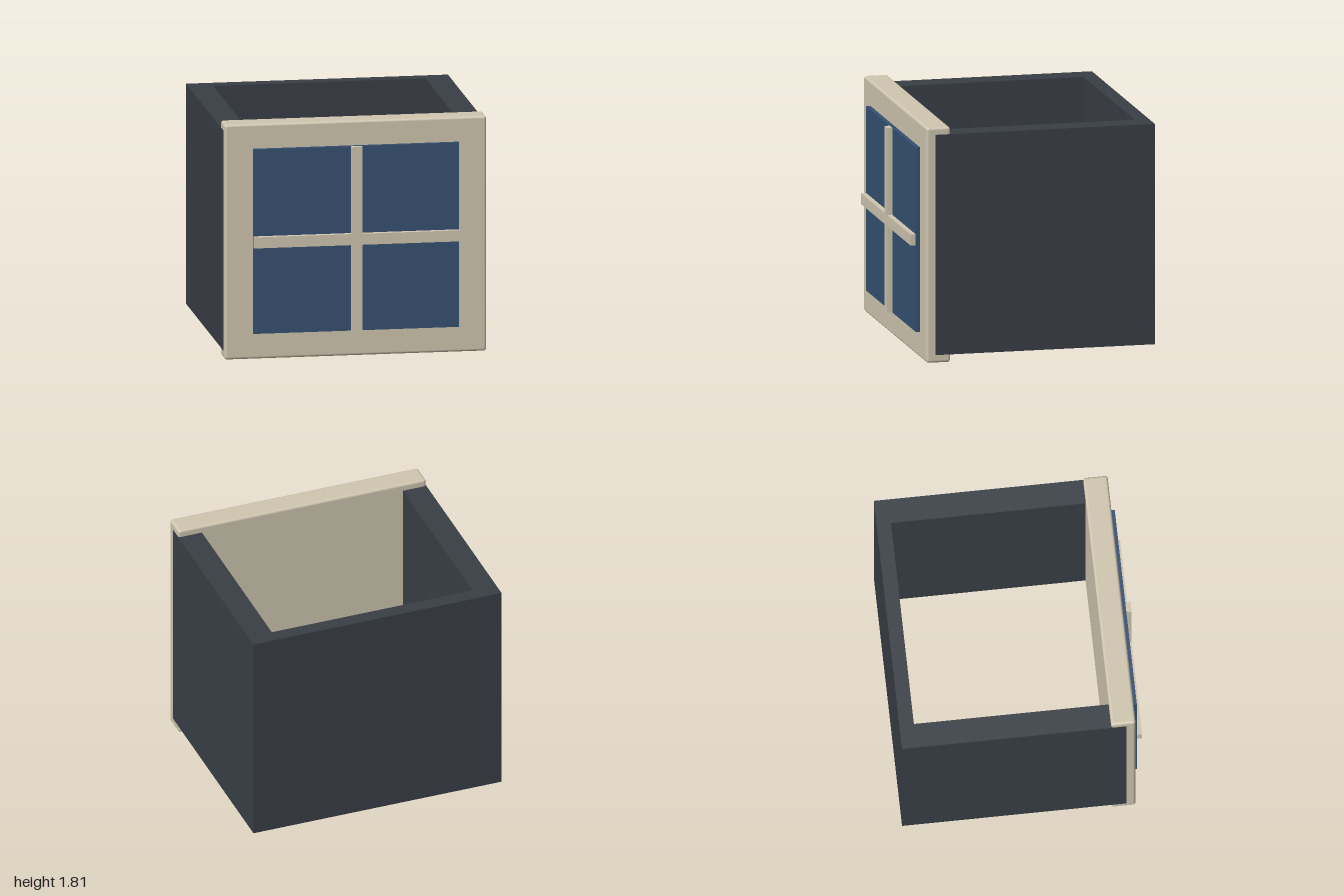
import * as THREE from 'three';
import { RoundedBoxGeometry } from 'three/addons/geometries/RoundedBoxGeometry.js';

function material(name, color) {
  const m = new THREE.MeshStandardMaterial({ color });
  m.name = name;
  return m;
}

export function createModel() {
  const group = new THREE.Group();
  const slate = material('slate', 0x393e46);
  const cream = material('cream', 0xcfc6b0);
  const glass = material('blueGlass', 0x365072);

  const add = (name, geometry, mat, x = 0, y = 0, z = 0) => {
    const mesh = new THREE.Mesh(geometry, mat);
    mesh.name = name;
    mesh.position.set(x, y, z);
    group.add(mesh);
  };

  // Three-sided wall: U-shaped plan (shape y is -z), open at top, bottom and front
  const plan = [[-1, -0.78], [-0.81, -0.78], [-0.81, 0.81], [0.81, 0.81],
    [0.81, -0.78], [1, -0.78], [1, 0.92], [-1, 0.92]];
  const shape = new THREE.Shape(plan.map(([x, y]) => new THREE.Vector2(x, y)));
  const walls = new THREE.ExtrudeGeometry(shape, { depth: 1.695, bevelEnabled: false });
  walls.rotateX(-Math.PI / 2);
  add('walls', walls, slate, 0, 0.06, 0);

  // Rounded front panel, a hair narrower than the walls to avoid coplanar sides
  add('frontPanel', new RoundedBoxGeometry(1.998, 1.81, 0.185, 3, 0.02), cream, 0, 0.905, 0.7575);

  // Window pane
  add('windowPane', new THREE.BoxGeometry(1.57, 1.42, 0.04), glass, 0, 0.91, 0.862);

  // Crossing glazing bars
  add('verticalBar', new THREE.BoxGeometry(0.082, 1.42, 0.04), cream, 0, 0.91, 0.902);
  for (const side of [-1, 1]) {
    add('horizontalBar', new THREE.BoxGeometry(0.744, 0.085, 0.04), cream, side * 0.413, 0.909, 0.902);
  }

  return group;
}
